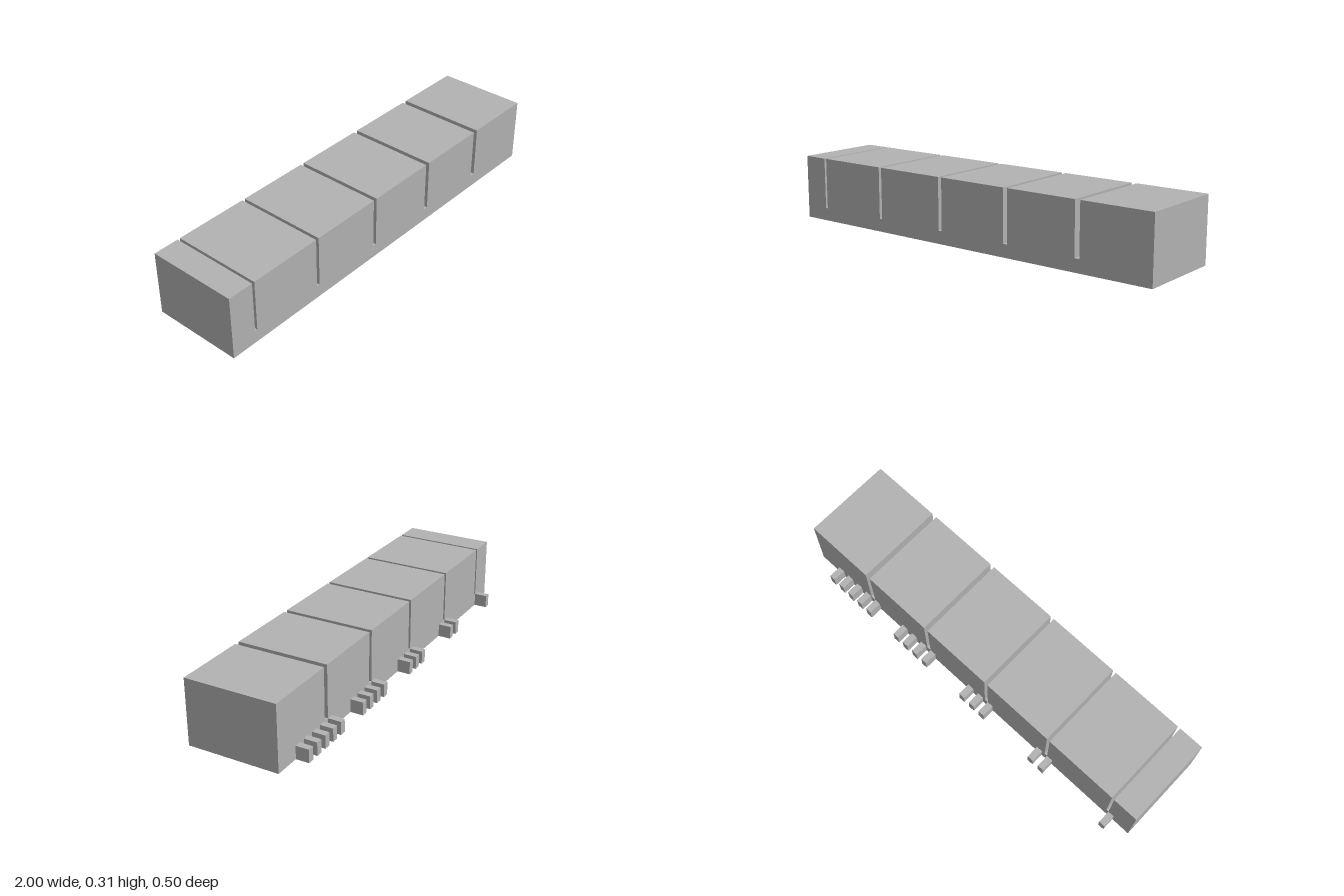
import * as THREE from 'three';

// Slotted gauge block: five slots of growing width, each counted by tabs on the back
const PITCH = 0.375, FIRST_SLOT = -0.875;
const HEIGHT = 0.3125, SLOT_FLOOR = 0.0625;
const BACK = -0.1875, FRONT = 0.25;
const TAB_WIDTH = 0.03125, TAB_SIZE = 0.0625;

export function createModel() {
  const model = new THREE.Group();
  model.name = 'slotGauge';
  const grey = new THREE.MeshStandardMaterial({ color: 0xb2b2b2 });
  grey.name = 'grey';

  // Comb-shaped profile, extruded from back to front
  const profile = new THREE.Shape();
  profile.moveTo(-1, HEIGHT);
  profile.lineTo(-1, 0);
  profile.lineTo(1, 0);
  profile.lineTo(1, HEIGHT);
  for (let i = 4; i >= 0; i--) {
    const left = FIRST_SLOT + i * PITCH;
    const right = left + 0.0125 + i * 0.003125;
    profile.lineTo(right, HEIGHT);
    profile.lineTo(right, SLOT_FLOOR);
    profile.lineTo(left, SLOT_FLOOR);
    profile.lineTo(left, HEIGHT);
  }
  profile.closePath();
  const bodyGeometry = new THREE.ExtrudeGeometry(profile, { depth: FRONT - BACK, bevelEnabled: false });
  bodyGeometry.translate(0, 0, BACK);
  const body = new THREE.Mesh(bodyGeometry, grey);
  body.name = 'slottedBlock';
  model.add(body);

  // Counting tabs: one behind the first slot, up to five behind the last
  const tabGeometry = new THREE.BoxGeometry(TAB_WIDTH, TAB_SIZE, TAB_SIZE);
  for (let i = 0; i < 5; i++) {
    const tabs = new THREE.Group();
    tabs.name = `tabGroup${i + 1}`;
    for (let j = 0; j <= i; j++) {
      const tab = new THREE.Mesh(tabGeometry, grey);
      tab.name = 'countingTab';
      tab.position.set(
        FIRST_SLOT + i * PITCH - TAB_WIDTH / 2 + j * 2 * TAB_WIDTH,
        TAB_SIZE / 2,
        BACK - TAB_SIZE / 2
      );
      tabs.add(tab);
    }
    model.add(tabs);
  }
  return model;
}
